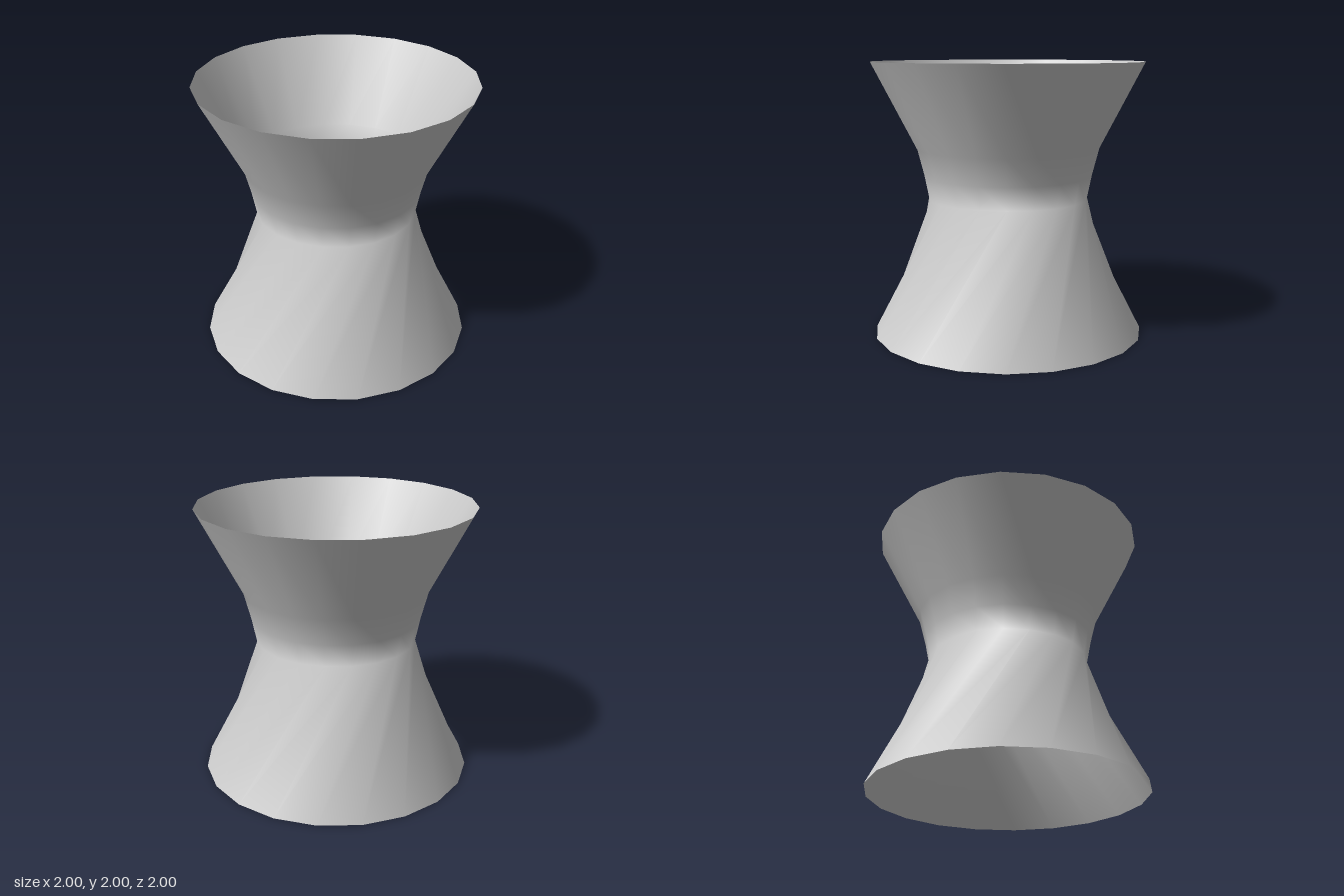
import * as THREE from 'three';

const SIDES = 20;
const STEP = (Math.PI * 2) / SIDES;

// Rings from the base to the rim: height, radius, turn in steps.
// The lower half is a twisted ruled skirt, the upper half flares out.
const RINGS = [
  [0, 1, 0],
  [1, 0.588, 3],
  [1.17, 0.622, 3],
  [1.37, 0.674, 3],
  [2, 1, 3],
];

// Skins neighbouring rings with triangles sharing vertices, for smooth normals.
function loftRings(rings) {
  const positions = [];
  const index = [];
  for (const [y, radius, turn] of rings) {
    for (let i = 0; i < SIDES; i++) {
      const angle = (i + turn) * STEP;
      positions.push(radius * Math.sin(angle), y, radius * Math.cos(angle));
    }
  }
  for (let r = 0; r < rings.length - 1; r++) {
    for (let i = 0; i < SIDES; i++) {
      const next = (i + 1) % SIDES;
      const a = r * SIDES + i;
      const b = r * SIDES + next;
      const c = a + SIDES;
      const d = b + SIDES;
      index.push(a, b, c, b, d, c);
    }
  }
  const geometry = new THREE.BufferGeometry();
  geometry.setAttribute('position', new THREE.Float32BufferAttribute(positions, 3));
  geometry.setIndex(index);
  geometry.computeVertexNormals();
  return geometry;
}

export function createModel() {
  const group = new THREE.Group();
  group.name = 'hyperboloid';

  // Thin waisted tube, open at both ends
  const material = new THREE.MeshStandardMaterial({ color: 0xcccccc, side: THREE.DoubleSide });
  const shell = new THREE.Mesh(loftRings(RINGS), material);
  shell.name = 'waistedShell';
  group.add(shell);

  return group;
}
